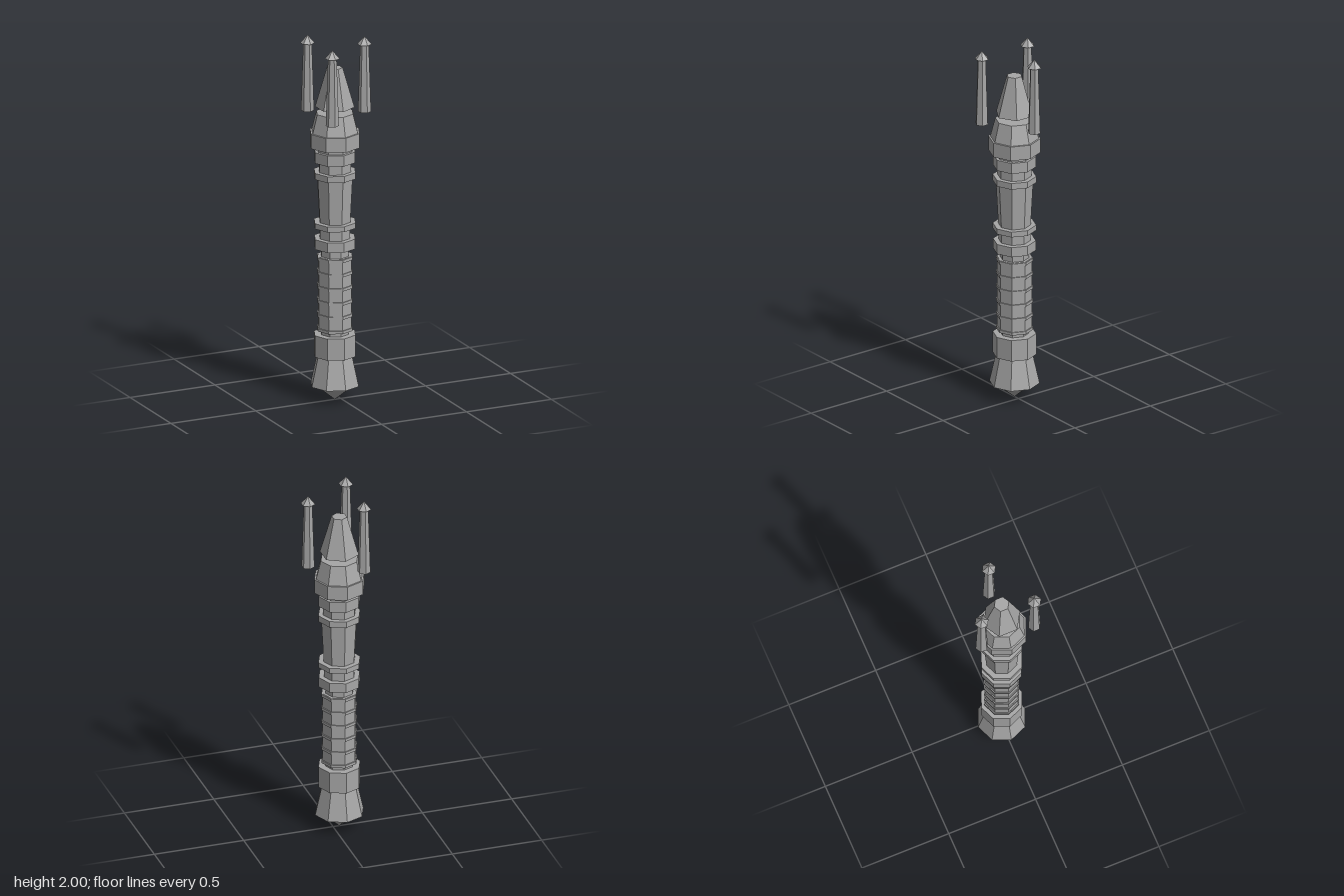
import * as THREE from 'three';

const AXIS_X = -0.035; // the shaft sits slightly off centre, balanced by the front prong

export function createModel() {
  const model = new THREE.Group();
  model.name = 'mace';
  const metal = new THREE.MeshStandardMaterial({ color: 0xa6a6a6, flatShading: true });
  metal.name = 'grey metal';

  const shaft = new THREE.Group();
  shaft.name = 'shaft';
  shaft.position.x = AXIS_X;
  model.add(shaft);

  // A closed prism or frustum between two heights
  function section(parent, name, y0, y1, r0, r1 = r0, sides = 8) {
    const mesh = new THREE.Mesh(new THREE.CylinderGeometry(r1, r0, y1 - y0, sides), metal);
    mesh.name = name;
    mesh.position.y = (y0 + y1) / 2;
    parent.add(mesh);
  }

  // Pommel
  section(shaft, 'pommelSpike', 0, 0.087, 0, 0.105);
  section(shaft, 'pommelFlare', 0.085, 0.25, 0.135, 0.098);
  section(shaft, 'pommelCollar', 0.25, 0.37, 0.117);

  // Grip with thin raised bands
  section(shaft, 'gripCore', 0.37, 0.85, 0.078);
  section(shaft, 'grip', 0.395, 0.805, 0.094);
  for (let i = 0; i < 6; i++) {
    const y = 0.4 + i * 0.079;
    section(shaft, 'gripBand', y - 0.008, y + 0.008, 0.1);
  }

  // Middle collars and upper shaft
  section(shaft, 'lowerCollar', 0.85, 0.905, 0.115);
  section(shaft, 'lowerNeck', 0.905, 0.965, 0.086);
  section(shaft, 'lowerRing', 0.965, 0.995, 0.117);
  section(shaft, 'upperShaft', 0.995, 1.24, 0.087, 0.1);
  section(shaft, 'upperRing', 1.24, 1.275, 0.117);
  section(shaft, 'upperNeck', 1.275, 1.33, 0.09);
  section(shaft, 'upperCollar', 1.33, 1.39, 0.115);
  section(shaft, 'headNeck', 1.39, 1.415, 0.098);

  // Head and the six-sided core floating above it
  section(shaft, 'headRim', 1.415, 1.495, 0.14);
  section(shaft, 'headTaper', 1.495, 1.6, 0.13, 0.103);
  section(shaft, 'floatingCore', 1.63, 1.85, 0.105, 0.042, 6);

  // Three floating prongs with pointed caps
  for (let i = 0; i < 3; i++) {
    const a = (i * Math.PI * 2) / 3;
    const prong = new THREE.Group();
    prong.name = 'prong';
    prong.position.set(Math.cos(a) * 0.175, 0, Math.sin(a) * 0.175);
    section(prong, 'prongShaft', 1.58, 1.957, 0.035, 0.023, 6);
    section(prong, 'prongTip', 1.955, 2, 0.039, 0, 6);
    shaft.add(prong);
  }
  return model;
}
